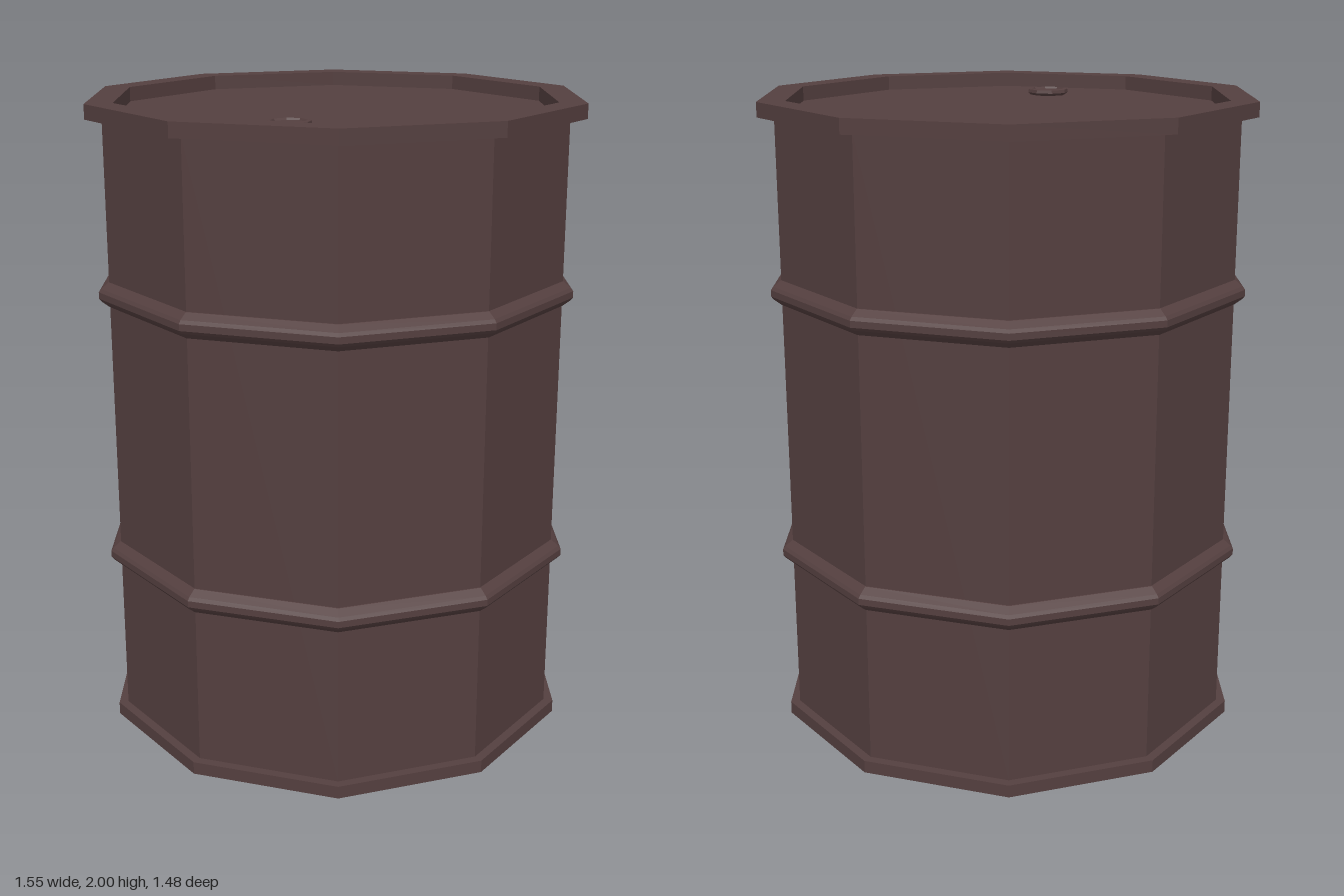
import * as THREE from 'three';

const paint = new THREE.MeshStandardMaterial({ color: 0x543f3f });
paint.name = 'dark brown metal';

// Faceted lathe; the profile runs bottom to top on the outside, with a corner on the x axis
function turned(name, profile, sides = 10) {
  const points = profile.map(([r, y]) => new THREE.Vector2(r, y));
  const geometry = new THREE.LatheGeometry(points, sides, Math.PI / 2).toNonIndexed();
  geometry.computeVertexNormals();
  const mesh = new THREE.Mesh(geometry, paint);
  mesh.name = name;
  return mesh;
}

export function createModel() {
  const drum = new THREE.Group();
  drum.name = 'drum';

  // Straight wall with sunken end panels
  drum.add(turned('body', [[0, 0.035], [0.725, 0.035], [0.725, 1.955], [0, 1.955]]));

  // Rolled end rims, open in the middle
  drum.add(turned('bottomRim', [[0.7, 0.036], [0.7, 0], [0.755, 0], [0.755, 0.04], [0.72, 0.04]]));
  drum.add(turned('topRim', [[0.72, 1.955], [0.776, 1.955], [0.776, 2], [0.69, 2], [0.69, 1.954]]));

  // Raised hoops around the wall
  [['lowerHoop', 0.575], ['upperHoop', 1.425]].forEach(([name, y]) => {
    drum.add(turned(name, [
      [0.72, y - 0.04], [0.727, y - 0.038], [0.75, y - 0.02], [0.758, y - 0.01],
      [0.758, y + 0.01], [0.75, y + 0.02], [0.727, y + 0.038], [0.72, y + 0.04],
    ]));
  });

  // Filler cap on the lid
  const cap = turned('fillerCap', [
    [0.058, 0], [0.067, 0.008], [0.065, 0.018], [0.054, 0.02], [0.05, 0.014], [0, 0.014],
  ], 8);
  cap.position.set(-0.41, 1.955, 0.13);
  drum.add(cap);

  return drum;
}
